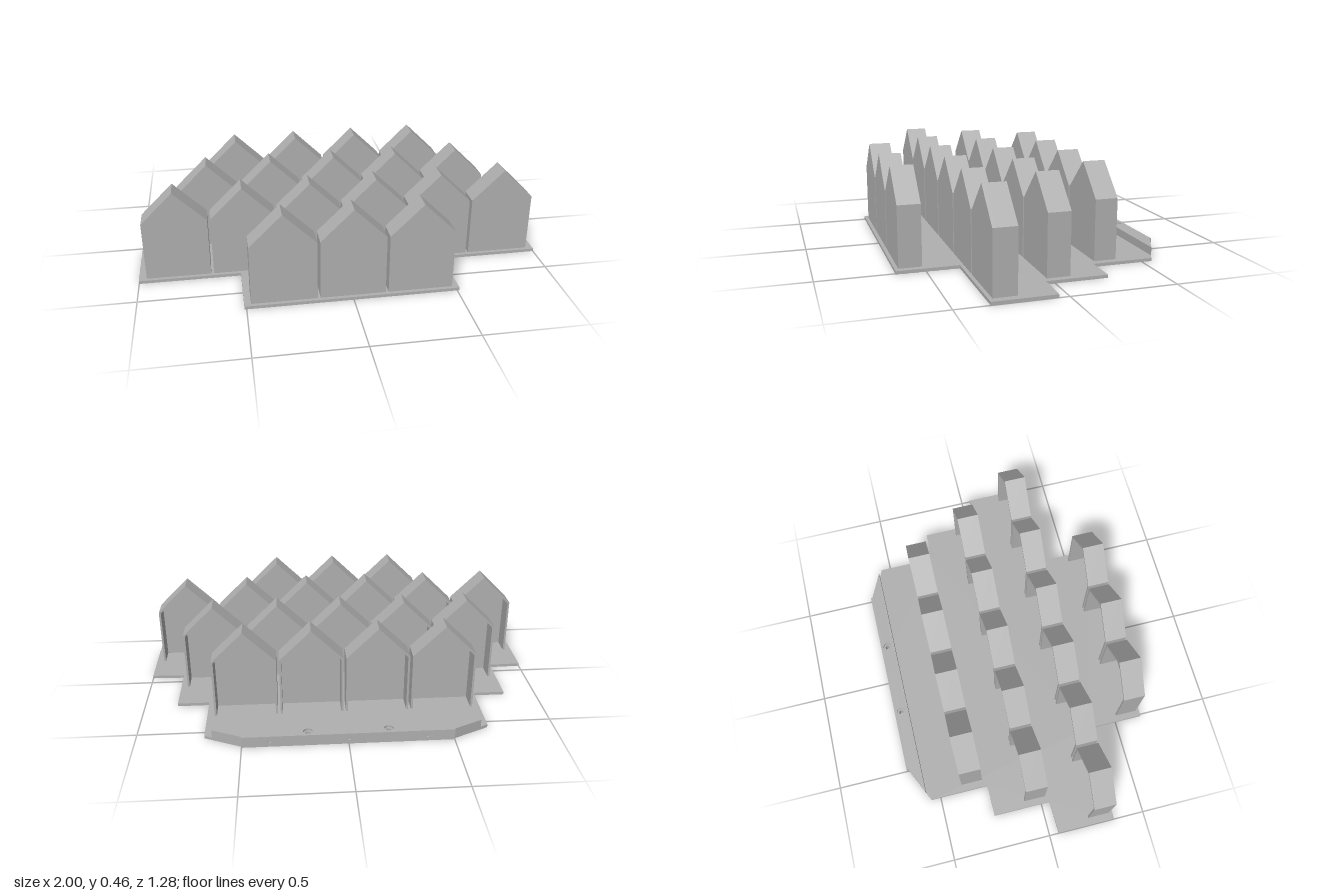
import * as THREE from 'three';

const PLATE = 0.015;   // base thickness
const LIP = 0.055;     // height of the rear lip
const HALF = 0.155, EAVE = 0.31, PEAK = 0.462, DEPTH = 0.11, WALL = 0.01, FRONT = 0.014;
const PITCH = 0.3235;
const HOLES = [-0.19, 0.19];

const grey = new THREE.MeshStandardMaterial({ color: 0xb0b0b0 });
grey.name = 'plain grey';

function mesh(name, geometry) {
  const m = new THREE.Mesh(geometry, grey);
  m.name = name;
  return m;
}

function polygon(points) {
  return new THREE.Shape(points.map(([x, y]) => new THREE.Vector2(x, y)));
}

function addHole(shape, x, y, r) {
  const hole = new THREE.Path();
  hole.absarc(x, y, r, 0, Math.PI * 2, true);
  shape.holes.push(hole);
}

function extrude(shape, depth) {
  return new THREE.ExtrudeGeometry(shape, { depth, bevelEnabled: false, curveSegments: 12 });
}

// Flat slab from a right-half plan outline of [x, z], mirrored in x, with screw holes
function slab(name, half, y0, y1, holeRadius) {
  const right = half.map(([x, z]) => [x, -z]);
  const left = right.map(([x, y]) => [-x, y]).reverse();
  const shape = polygon([...right, ...left]);
  HOLES.forEach((x) => addHole(shape, x, 0.605, holeRadius));
  const geometry = extrude(shape, y1 - y0);
  geometry.rotateX(-Math.PI / 2);
  geometry.translate(0, y0, 0);
  return mesh(name, geometry);
}

export function createModel() {
  const model = new THREE.Group();
  model.name = 'houseRows';

  // Stepped base plate
  model.add(slab('basePlate', [
    [0.51, 0.64], [0.51, 0.343], [1, 0.343], [1, 0.048], [0.835, 0.043],
    [0.835, -0.25], [0.677, -0.25], [0.677, -0.549], [0.5, -0.632],
  ], 0, PLATE, 0.012));

  // Raised rear lip with countersunk screw holes
  const lip = [[0.64, -0.567], [0.5, -0.632]];
  model.add(slab('rearLip', lip, PLATE, LIP - 0.01, 0.012));
  model.add(slab('rearLipTop', lip, LIP - 0.01, LIP, 0.022));

  // Rear face strip with three round sockets
  const strip = polygon([[-0.5, 0], [0.5, 0], [0.5, LIP], [-0.5, LIP]]);
  [-0.37, 0, 0.37].forEach((x) => addHole(strip, x, 0.03, 0.011));
  const face = mesh('rearFace', extrude(strip, 0.008));
  face.position.z = -0.64;
  model.add(face);

  // House: walls and roof as a thin shell, closed at the front and open at the back
  const outer = [[HALF, 0], [HALF, EAVE], [0, PEAK], [-HALF, EAVE], [-HALF, 0]];
  const inX = HALF - WALL;
  const inner = [[-inX, 0], [-inX, EAVE - 0.004], [0, PEAK - 0.014], [inX, EAVE - 0.004], [inX, 0]];
  const shellGeometry = extrude(polygon([...outer, ...inner]), DEPTH - FRONT);
  const panelGeometry = extrude(polygon(outer), FRONT);
  // Lower the eaves by the plate thickness so heights count from the ground
  for (const g of [shellGeometry, panelGeometry]) {
    const p = g.attributes.position;
    for (let i = 0; i < p.count; i++) if (p.getY(i) < 0.001) p.setY(i, PLATE);
  }

  // Rows from front to back: [front z, number of houses]
  [[0.622, 3], [0.325, 6], [0.027, 5], [-0.27, 4]].forEach(([z, count], row) => {
    const group = new THREE.Group();
    group.name = `houseRow${row + 1}`;
    for (let i = 0; i < count; i++) {
      const house = new THREE.Group();
      house.name = 'house';
      const panel = mesh('frontWall', panelGeometry);
      panel.position.z = DEPTH - FRONT;
      house.add(mesh('wallsAndRoof', shellGeometry), panel);
      house.position.set((i - (count - 1) / 2) * PITCH, 0, z - DEPTH);
      group.add(house);
    }
    model.add(group);
  });

  return model;
}
